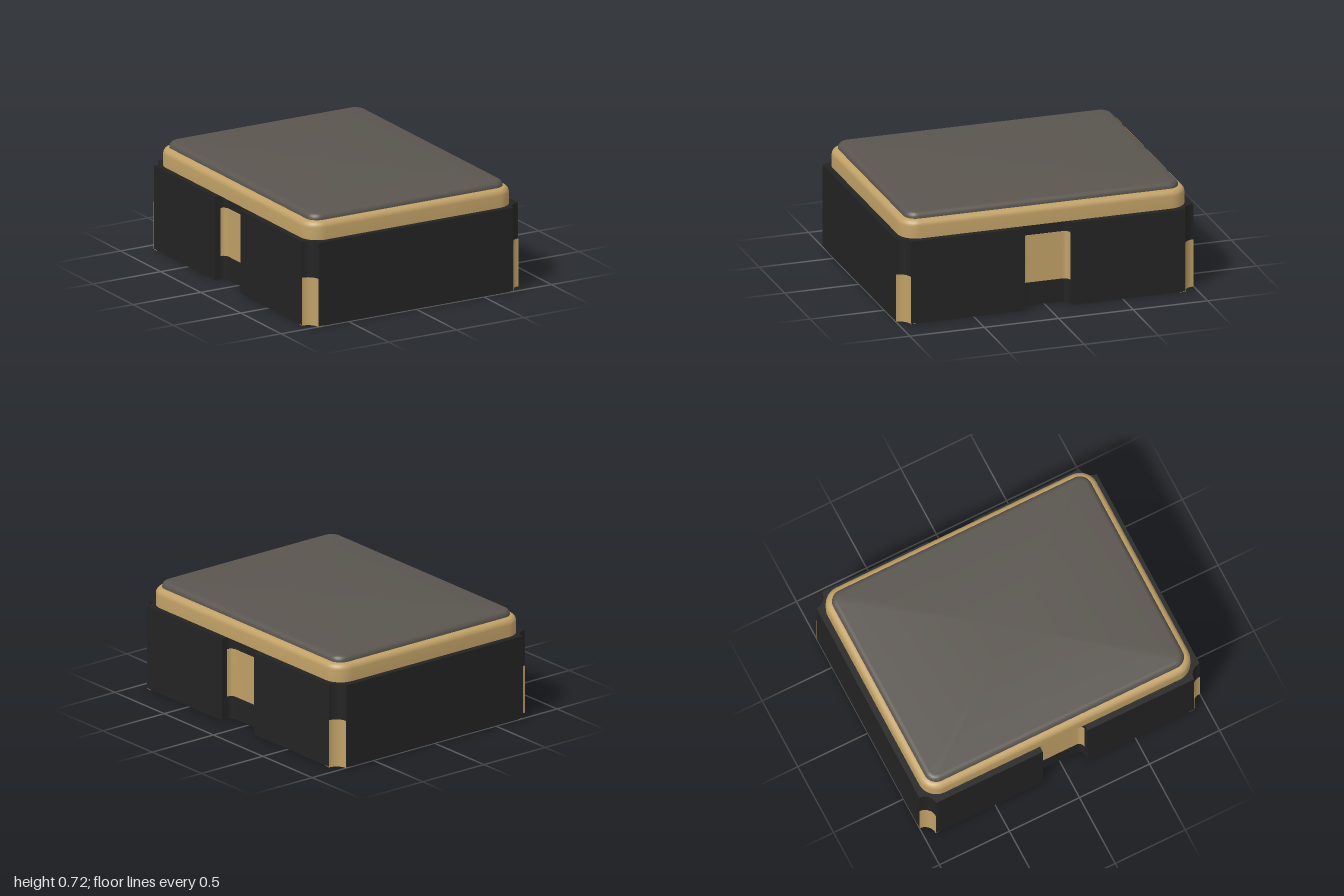
import * as THREE from 'three';
import { toCreasedNormals } from 'three/addons/utils/BufferGeometryUtils.js';

const PI = Math.PI;
const W = 0.8, L = 1, NOTCH = 0.08, BODY_TOP = 0.56, SKIN = 0.003;
const corners = [[1, 1], [-1, 1], [-1, -1], [1, -1]];

// Extrudes a plan shape (shape y = -z) upwards from y0 to y1
function slab(shape, y0, y1) {
  const geo = new THREE.ExtrudeGeometry(shape, { depth: y1 - y0, bevelEnabled: false, curveSegments: 12 });
  geo.rotateX(-PI / 2).translate(0, y0, 0);
  return toCreasedNormals(geo, 0.6);
}

// Plan of the ceramic body: scooped corners and a filleted slot in each long side
function bodyPlan() {
  const s = new THREE.Shape();
  s.moveTo(W, -0.92);
  for (const [k, t] of [[1, 0], [-1, PI]]) {
    s.lineTo(k * W, k * -0.16);
    s.lineTo(k * 0.76, k * -0.16);
    s.absarc(k * 0.76, k * -0.12, 0.04, t - PI / 2, t - PI, true);
    s.lineTo(k * 0.72, k * 0.12);
    s.absarc(k * 0.76, k * 0.12, 0.04, t + PI, t + PI / 2, true);
    s.lineTo(k * W, k * 0.16);
    s.lineTo(k * W, k * 0.92);
    s.absarc(k * W, k * L, NOTCH, t + 1.5 * PI, t + PI, true);
    s.lineTo(k * -0.72, k * L);
    s.absarc(k * -W, k * L, NOTCH, t, t - PI / 2, true);
  }
  return s;
}

// Thin metal lining that follows the back of a side slot
function slotPlan() {
  const s = new THREE.Shape();
  s.moveTo(0.76, -0.16);
  s.absarc(0.76, -0.12, 0.04, -PI / 2, -PI, true);
  s.lineTo(0.72, 0.12);
  s.absarc(0.76, 0.12, 0.04, PI, PI / 2, true);
  s.lineTo(0.76, 0.16 - SKIN);
  s.absarc(0.76, 0.12, 0.04 - SKIN, PI / 2, PI, false);
  s.lineTo(0.72 + SKIN, -0.12);
  s.absarc(0.76, -0.12, 0.04 - SKIN, PI, 1.5 * PI, false);
  return s;
}

// Rounded rectangle lofted through [height, inset] levels, closed at both ends
function roundedLoft(halfX, halfZ, radius, levels) {
  const pos = [], idx = [], steps = 10, n = 4 * (steps + 1);
  for (const [y, inset] of levels) {
    corners.forEach(([sx, sy], c) => {
      for (let i = 0; i <= steps; i++) {
        const a = (c + i / steps) * PI / 2, r = radius - inset;
        pos.push(sx * (halfX - radius) + r * Math.cos(a), y, -sy * (halfZ - radius) - r * Math.sin(a));
      }
    });
  }
  const last = (levels.length - 1) * n, bottom = levels.length * n;
  pos.push(0, levels[0][0], 0, 0, levels[levels.length - 1][0], 0);
  for (let i = 0; i < n; i++) {
    const j = (i + 1) % n;
    for (let k = 0; k < last; k += n) {
      idx.push(k + i, k + j, k + n + j, k + i, k + n + j, k + n + i);
    }
    idx.push(bottom, j, i, bottom + 1, last + i, last + j);
  }
  const geo = new THREE.BufferGeometry();
  geo.setAttribute('position', new THREE.Float32BufferAttribute(pos, 3));
  geo.setIndex(idx);
  return toCreasedNormals(geo, 0.6);
}

// Levels for a straight wall that rolls over into a flat top
function rolledLevels(y0, y1, r) {
  const levels = [[y0, 0]];
  for (let i = 0; i <= 6; i++) {
    const a = i / 6 * PI / 2;
    levels.push([y1 - r + r * Math.sin(a), r - r * Math.cos(a)]);
  }
  return levels;
}

export function createModel() {
  const group = new THREE.Group();
  const ceramic = new THREE.MeshStandardMaterial({ color: 0x232323 });
  const gold = new THREE.MeshStandardMaterial({ color: 0xc0a066, side: THREE.DoubleSide });
  const lidGrey = new THREE.MeshStandardMaterial({ color: 0x5a554f });
  ceramic.name = 'black ceramic';
  gold.name = 'gold plating';
  lidGrey.name = 'grey lid metal';

  const add = (name, geo, material) => {
    const mesh = new THREE.Mesh(geo, material);
    mesh.name = name;
    group.add(mesh);
    return mesh;
  };

  add('body', slab(bodyPlan(), SKIN, BODY_TOP), ceramic);

  // Seal ring and lid
  add('sealRing', roundedLoft(0.76, 0.96, 0.12, rolledLevels(BODY_TOP, 0.68, 0.04)), gold);
  add('lid', roundedLoft(0.72, 0.92, 0.08, rolledLevels(0.68, 0.72, 0.035)), lidGrey);

  // Side slot contacts
  const slotGeo = slab(slotPlan(), 0.16, 0.48);
  add('leftSlotContact', slotGeo, gold);
  add('rightSlotContact', slotGeo, gold).rotation.y = PI;

  for (const [sx, sy] of corners) {
    const label = (sy > 0 ? 'back' : 'front') + (sx > 0 ? 'Left' : 'Right');

    // Curved plating in the corner scoop
    const start = Math.atan2(-sx, sy) - PI / 4;
    const scoop = new THREE.CylinderGeometry(NOTCH - SKIN, NOTCH - SKIN, 0.32, 12, 1, true, start, PI / 2);
    add(label + 'CornerContact', scoop, gold).position.set(sx * W, 0.16, -sy * L);

    // Solder pad; one has a cut corner as an orientation mark
    const marked = sx < 0 && sy > 0;
    const inner = marked ? [[0.24, 0.64], [0.48, 0.4]] : [[0.24, 0.4]];
    const outline = [[0.72, 0.92], [0.24, 0.92], ...inner, [0.72, 0.4]];
    const pad = new THREE.Shape(outline.map(([x, y]) => new THREE.Vector2(sx * x, sy * y)));
    add(label + 'Pad', slab(pad, 0, SKIN + 0.001), gold);

    // Plated rim joining the pad to the corner
    const a = Math.atan2(-sy, -sx) - PI / 4;
    const rim = new THREE.Shape();
    rim.absarc(sx * W, sy * L, 0.115, a, a + PI / 2, false);
    rim.absarc(sx * W, sy * L, NOTCH, a + PI / 2, a, true);
    add(label + 'PadRim', slab(rim, 0.0005, SKIN + 0.001), gold);
  }
  return group;
}
